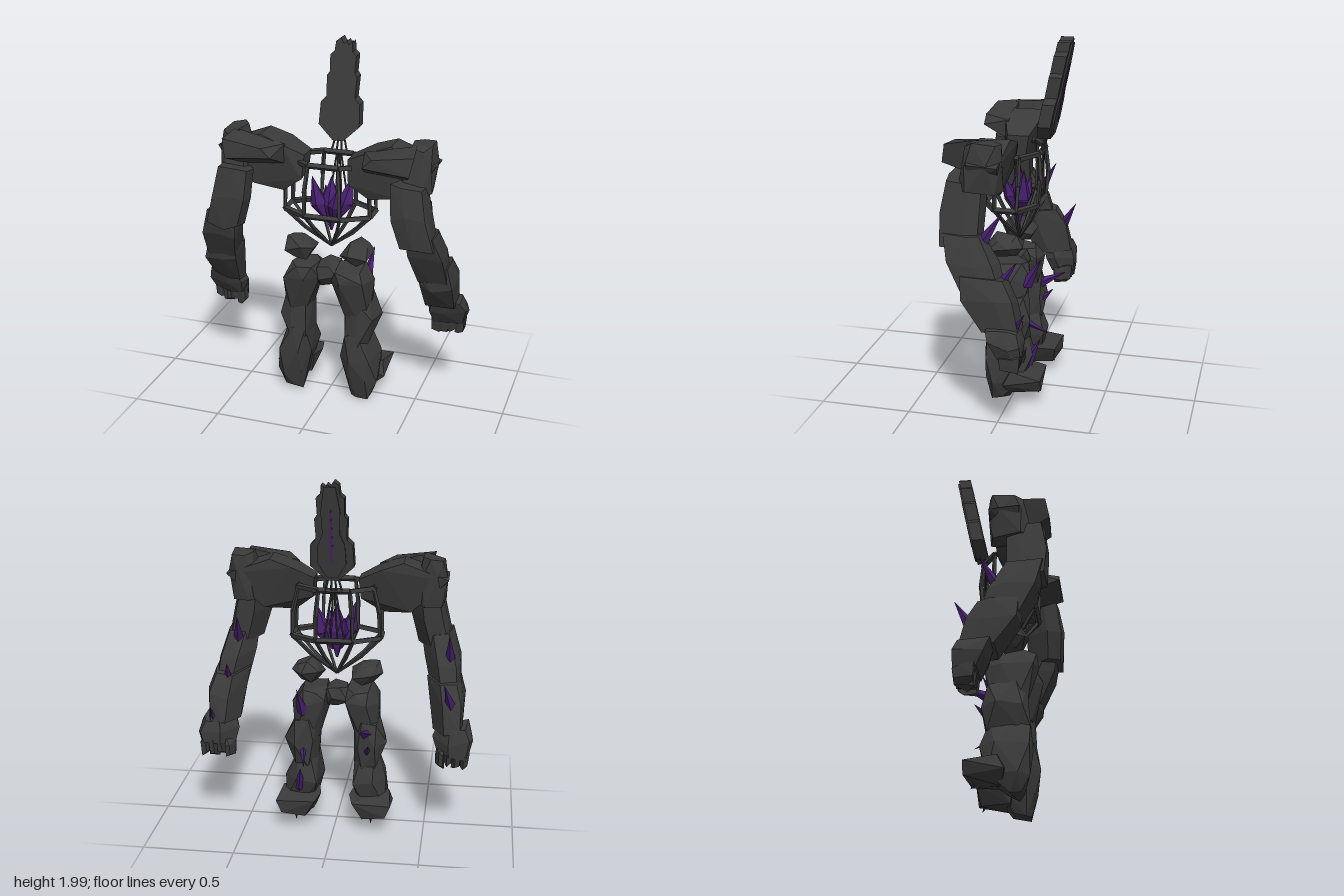
import * as THREE from 'three';
import { ConvexGeometry } from 'three/addons/geometries/ConvexGeometry.js';

const V = (x, y, z) => new THREE.Vector3(x, y, z);

export function createModel() {
  const model = new THREE.Group();
  model.name = 'stoneGolem';
  const stone = new THREE.MeshStandardMaterial({ color: 0x3a3a3a, flatShading: true });
  stone.name = 'dark stone';
  const crystal = new THREE.MeshStandardMaterial({ color: 0x48206f, flatShading: true });
  crystal.name = 'purple crystal';

  let seed = 7;
  const rnd = () => (seed = (seed * 16807) % 2147483647) / 2147483647;

  const add = (parent, name, geo, mat) => {
    const m = new THREE.Mesh(geo, mat);
    m.name = name;
    parent.add(m);
    return m;
  };

  // Faceted rock: hull around stacked uneven rings [x, y, z, rx, rz]
  const LEG_RING = [[1, 0.5], [0.35, 1], [-0.8, 0.85], [-1, -0.35], [-0.3, -1], [0.8, -0.85]];
  const ARM_RING = [[1, 0.92], [-0.1, 1], [-0.85, 0.9], [-1, 0.2], [-0.2, -0.95], [0.8, -0.9], [1, -0.3]];
  const rock = (parent, name, s, rings, outline = LEG_RING) => {
    const pts = [];
    rings.forEach(([x, y, z, rx, rz], i) => {
      const flip = outline === LEG_RING && i % 2 ? -1 : 1;
      for (const [a, b] of outline) {
        const k = 0.93 + rnd() * 0.12;
        pts.push(V(s * (x + flip * a * rx * k), y + (rnd() - 0.5) * 0.04, z + b * rz * k));
      }
    });
    return add(parent, name, new ConvexGeometry(pts), stone);
  };
  const hull = (parent, name, s, pts) =>
    add(parent, name, new ConvexGeometry(pts.map(([x, y, z]) => V(s * x, y, z))), stone);

  // Tapered piece between two points
  const rod = (parent, name, a, b, r0, r1, sides, mat) => {
    const d = b.clone().sub(a);
    const m = add(parent, name, new THREE.CylinderGeometry(r1, r0, d.length(), sides), mat);
    m.position.copy(a).addScaledVector(d, 0.5);
    m.quaternion.setFromUnitVectors(V(0, 1, 0), d.normalize());
    return m;
  };

  for (const s of [1, -1]) {
    const side = s > 0 ? 'left' : 'right';
    const arm = new THREE.Group();
    arm.name = side + 'Arm';
    const leg = new THREE.Group();
    leg.name = side + 'Leg';
    model.add(arm, leg);

    // Shoulder mass and chest plate
    hull(arm, 'shoulder', s, [
      [0.12, 1.43, 0.1], [0.12, 1.43, -0.02], [0.13, 1.3, 0.12], [0.13, 1.32, 0],
      [0.24, 1.49, 0.14], [0.24, 1.49, -0.05], [0.36, 1.53, 0.12], [0.36, 1.53, -0.04],
      [0.6, 1.45, 0.13], [0.6, 1.44, -0.03], [0.54, 1.34, 0.12], [0.4, 1.25, 0.12],
      [0.4, 1.25, 0], [0.24, 1.22, 0.1]]);
    hull(arm, 'chestPlate', s, [
      [0.22, 1.49, 0.12], [0.25, 1.45, 0.27], [0.3, 1.5, 0.27], [0.22, 1.38, 0.12],
      [0.5, 1.55, 0.12], [0.45, 1.36, 0.12], [0.52, 1.53, 0.26], [0.5, 1.43, 0.28]]);
    rock(arm, 'shoulderCap', s, [[0.52, 1.54, 0.06, 0.06, 0.09], [0.515, 1.45, 0.06, 0.08, 0.095], [0.5, 1.3, 0.08, 0.085, 0.11]]);

    // Arm
    const armRock = (name, rings) => rock(arm, name, s, rings, ARM_RING);
    armRock('upperArm', [[0.47, 1.36, 0.15, 0.09, 0.1], [0.49, 1.2, 0.165, 0.1, 0.115], [0.535, 1.03, 0.165, 0.095, 0.1]]);
    armRock('elbow', [[0.54, 1.1, 0.155, 0.085, 0.1], [0.575, 0.96, 0.095, 0.1, 0.13], [0.6, 0.81, 0.03, 0.085, 0.11]]);
    armRock('forearm', [[0.59, 0.88, 0.03, 0.095, 0.12], [0.61, 0.77, 0, 0.1, 0.14], [0.62, 0.62, -0.07, 0.085, 0.1]]);
    armRock('hand', [[0.65, 0.64, -0.08, 0.08, 0.085], [0.65, 0.57, -0.1, 0.11, 0.085], [0.65, 0.49, -0.12, 0.09, 0.065]]);
    for (let i = 0; i < 4; i++) {
      armRock('finger', [[0.583 + i * 0.046, 0.51, -0.125, 0.025, 0.06], [0.583 + i * 0.044, 0.425 + (i % 2) * 0.012, -0.125, 0.025, 0.05]]);
    }

    // Leg
    rock(leg, 'hip', s, [[0.18, 0.945, 0.04, 0.05, 0.06], [0.165, 0.89, 0.04, 0.09, 0.1], [0.155, 0.84, 0.04, 0.05, 0.06]]);
    rock(leg, 'thigh', s, [[0.125, 0.8, 0.05, 0.07, 0.12], [0.14, 0.73, 0.04, 0.105, 0.14], [0.17, 0.52, 0.03, 0.07, 0.1]]);
    rock(leg, 'knee', s, [[0.17, 0.62, 0.02, 0.07, 0.11], [0.195, 0.5, 0.01, 0.095, 0.12], [0.17, 0.36, 0.02, 0.07, 0.12]]);
    rock(leg, 'shin', s, [[0.165, 0.42, 0.03, 0.06, 0.11], [0.185, 0.27, 0.015, 0.1, 0.145], [0.21, 0.13, 0.03, 0.085, 0.11], [0.2, 0.025, 0.055, 0.055, 0.05]]);
    hull(leg, 'foot', s, [
      [0.08, 0.19, -0.08], [0.105, 0.18, -0.18], [0.32, 0.18, -0.19], [0.3, 0.21, -0.02],
      [0.1, 0.2, 0.02], [0.32, 0.13, 0.02], [0.16, 0.08, -0.16], [0.29, 0.11, -0.19],
      [0.25, 0.06, 0], [0.12, 0.08, 0]]);
  }

  // Crystal spikes growing from the limbs: base, tip, radius
  const spikes = [
    [[0.56, 1.04, 0.06], [0.545, 1.2, -0.045], 0.032],
    [[0.6, 0.86, -0.06], [0.59, 0.96, -0.13], 0.022],
    [[0.67, 0.62, -0.13], [0.675, 0.72, -0.19], 0.02],
    [[-0.62, 0.98, 0.02], [-0.615, 1.15, -0.07], 0.03],
    [[-0.64, 0.74, -0.1], [-0.6, 0.91, -0.195], 0.034],
    [[0.18, 0.68, -0.08], [0.2, 0.84, -0.165], 0.034],
    [[0.2, 0.23, -0.09], [0.185, 0.37, -0.16], 0.034],
    [[0.18, 0.46, -0.09], [0.16, 0.4, -0.2], 0.018],
    [[0.21, 0.1, -0.14], [0.21, 0.06, -0.16], 0.012],
    [[-0.16, 0.56, -0.07], [-0.215, 0.62, -0.215], 0.032],
    [[-0.18, 0.46, -0.09], [-0.19, 0.52, -0.15], 0.02],
    [[-0.21, 0.1, -0.14], [-0.21, 0.06, -0.16], 0.012]];
  for (const [a, b, r] of spikes) rod(model, 'crystalSpike', V(...a), V(...b), r, 0.001, 4, crystal);

  // Pelvis stone
  rock(model, 'pelvis', 1, [[0, 0.81, 0.04, 0.06, 0.08], [0, 0.75, 0.04, 0.085, 0.1], [0.01, 0.7, 0.04, 0.05, 0.06]]);

  // Open rib cage: two octagonal rings, ribs gathering at a low point
  const cage = new THREE.Group();
  cage.name = 'ribCage';
  model.add(cage);
  const ring = (y, rx, rz, cz) => Array.from({ length: 8 }, (_, i) => {
    const t = (i + 0.5) * Math.PI / 4;
    return V(Math.cos(t) * rx, y, cz + Math.sin(t) * rz);
  });
  const top = ring(1.39, 0.22, 0.145, 0.01);
  const mid = ring(1.11, 0.26, 0.155, 0.02);
  const tip = V(0, 0.89, 0);
  for (let i = 0; i < 8; i++) {
    const j = (i + 1) % 8;
    rod(cage, 'topRing', top[i], top[j], 0.017, 0.017, 4, stone);
    rod(cage, 'middleRing', mid[i], mid[j], 0.017, 0.017, 4, stone);
    const bulge = top[i].clone().lerp(mid[i], 0.5).multiply(V(1.06, 1, 1.1));
    rod(cage, 'upperRib', top[i], bulge, 0.011, 0.013, 4, stone);
    rod(cage, 'upperRib', bulge, mid[i], 0.013, 0.011, 4, stone);
    const low = mid[i].clone().lerp(tip, 0.5).multiply(V(1.15, 1, 1.1));
    rod(cage, 'lowerRib', mid[i], low, 0.012, 0.011, 4, stone);
    rod(cage, 'lowerRib', low, tip, 0.011, 0.008, 4, stone);
  }
  // Neck strands, and back strands fanning down from them
  for (const x of [-0.045, -0.015, 0.015, 0.045]) {
    rod(cage, 'neckStrand', V(x, 1.39, -0.13), V(x * 0.5, 1.48, -0.145), 0.006, 0.005, 4, stone);
    rod(cage, 'backStrand', V(x * 1.2, 1.12, -0.12), V(x * 0.2, 1.4, -0.13), 0.005, 0.006, 4, stone);
  }

  // Crystal heart
  const heart = new THREE.Group();
  heart.name = 'crystalHeart';
  model.add(heart);
  const shards = [[0, 1.29, 0, 0.06], [-0.1, 1.29, 0.03, 0.048], [0.11, 1.3, -0.05, 0.048],
    [0.05, 1.23, 0.07, 0.036], [-0.05, 1.22, -0.05, 0.036]];
  for (const [x, y, z, r] of shards) {
    const waist = V(x * 0.65, 1.14, z * 0.65);
    rod(heart, 'shardTop', waist, V(x, y, z), r, 0.002, 5, crystal);
    rod(heart, 'shardBase', V(x * 0.2, x ? 1.03 : 0.98, z * 0.2), waist, 0.006, r, 5, crystal);
  }

  // Head: stepped slab leaning back with the height
  const head = new THREE.Group();
  head.name = 'head';
  model.add(head);
  const slab = (name, half, tops, z0, depth, mat) => {
    const shape = new THREE.Shape([
      ...half.map(([x, y]) => new THREE.Vector2(x, y)),
      ...tops.map(([x, y]) => new THREE.Vector2(x, y)),
      ...half.slice().reverse().map(([x, y]) => new THREE.Vector2(-x, y))]);
    const geo = new THREE.ExtrudeGeometry(shape, { depth, bevelEnabled: false });
    const p = geo.attributes.position;
    for (let i = 0; i < p.count; i++) p.setZ(i, p.getZ(i) + z0 - (p.getY(i) - 1.46) * 0.205);
    geo.computeVertexNormals();
    add(head, name, geo, mat);
  };
  slab('face', [[0.03, 1.46], [0.115, 1.54], [0.11, 1.66], [0.08, 1.69], [0.085, 1.8], [0.07, 1.82], [0.073, 1.91], [0.05, 1.93], [0.045, 1.98]],
    [[0.025, 1.965], [0.015, 1.985], [0, 1.97], [-0.02, 2]], -0.174, 0.069, stone);
  slab('backPlate', [[0.03, 1.48], [0.075, 1.56], [0.07, 1.66], [0.045, 1.72], [0.05, 1.84], [0.03, 1.97]], [], -0.184, 0.012, stone);
  slab('crystalSlit', [[0.003, 1.56], [0.008, 1.66], [0.003, 1.86]], [], -0.188, 0.006, crystal);
  return model;
}
